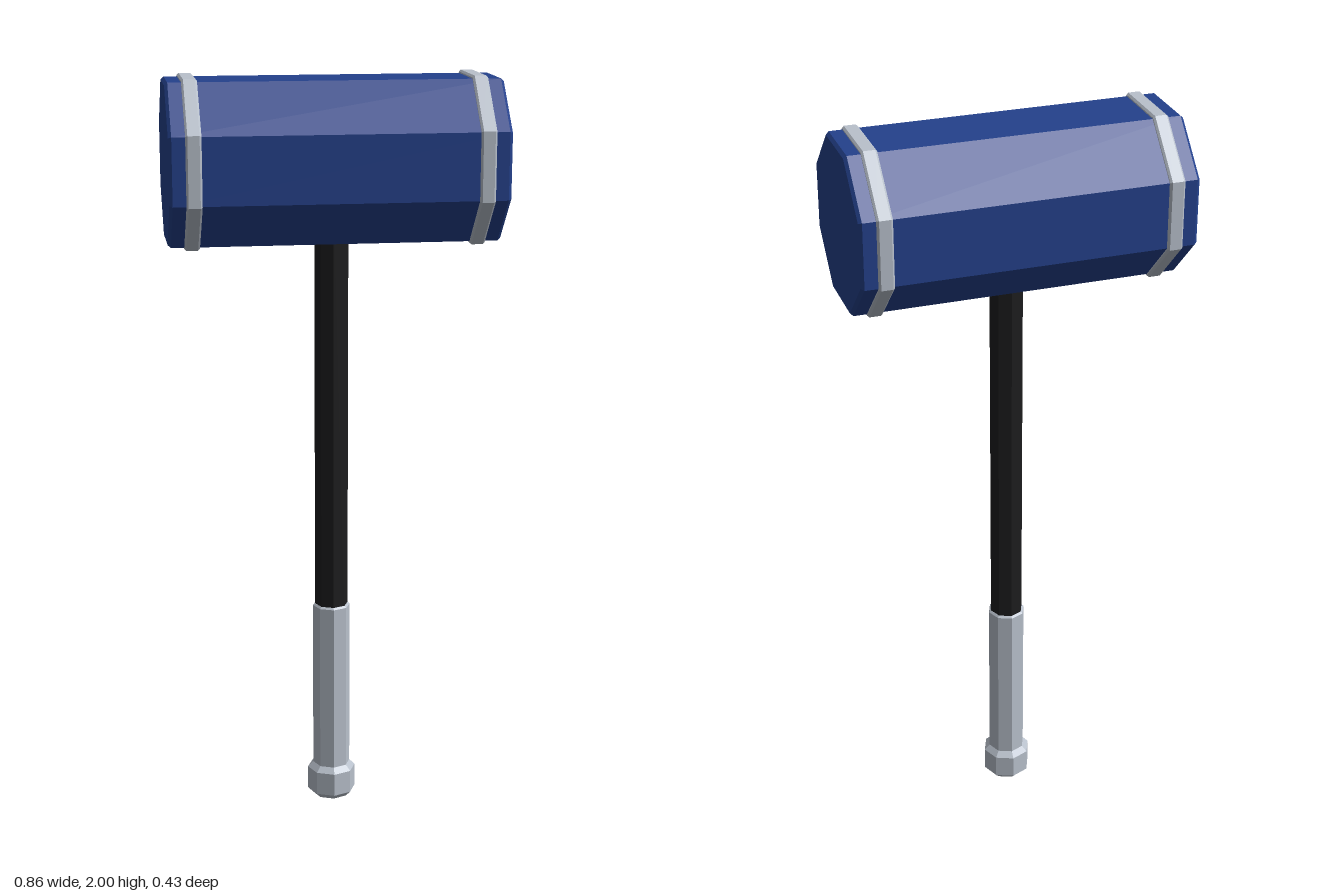
import * as THREE from 'three';

const SIDES = 8;
const FLAT = Math.cos(Math.PI / SIDES); // flat-to-centre distance over corner radius

// Faceted octagonal prism along y, centred, with bevelled rims
function bevelledPrism(radius, length, bevel) {
  const h = length / 2;
  const profile = [
    [0, -h], [radius - bevel, -h], [radius, -h + bevel],
    [radius, h - bevel], [radius - bevel, h], [0, h],
  ].map(([x, y]) => new THREE.Vector2(x, y));
  const geometry = new THREE.LatheGeometry(profile, SIDES).toNonIndexed();
  geometry.computeVertexNormals();
  return geometry;
}

export function createModel() {
  const group = new THREE.Group();
  const material = (name, color) => {
    const m = new THREE.MeshStandardMaterial({ color });
    m.name = name;
    return m;
  };
  const blue = material('blue', 0x24418c);
  const silver = material('silver', 0xb9c1cc);
  const black = material('black', 0x1d1d1e);

  const add = (parent, name, geometry, mat, y) => {
    const mesh = new THREE.Mesh(geometry, mat);
    mesh.name = name;
    mesh.position.y = y;
    parent.add(mesh);
  };

  // Handle, from the floor up
  const handle = new THREE.Group();
  handle.name = 'handle';
  add(handle, 'pommel', bevelledPrism(0.066, 0.096, 0.016), silver, 0.048);
  add(handle, 'grip', bevelledPrism(0.051, 0.49, 0.005), silver, 0.322);
  add(handle, 'shaft', bevelledPrism(0.045, 1.14, 0.003), black, 1.12);
  group.add(handle);

  // Head lies along x with flats facing up and down
  const head = new THREE.Group();
  head.name = 'head';
  head.position.y = 1.785;
  head.rotation.z = Math.PI / 2;
  const addToHead = (name, geometry, mat, offset) =>
    add(head, name, geometry.rotateY(Math.PI / SIDES), mat, offset);
  addToHead('headBlock', bevelledPrism(0.208 / FLAT, 0.864, 0.008), blue, 0);
  for (const side of [-1, 1]) {
    addToHead(side < 0 ? 'leftBand' : 'rightBand',
      bevelledPrism(0.216 / FLAT, 0.04, 0.005), silver, side * 0.37);
  }
  group.add(head);

  return group;
}
